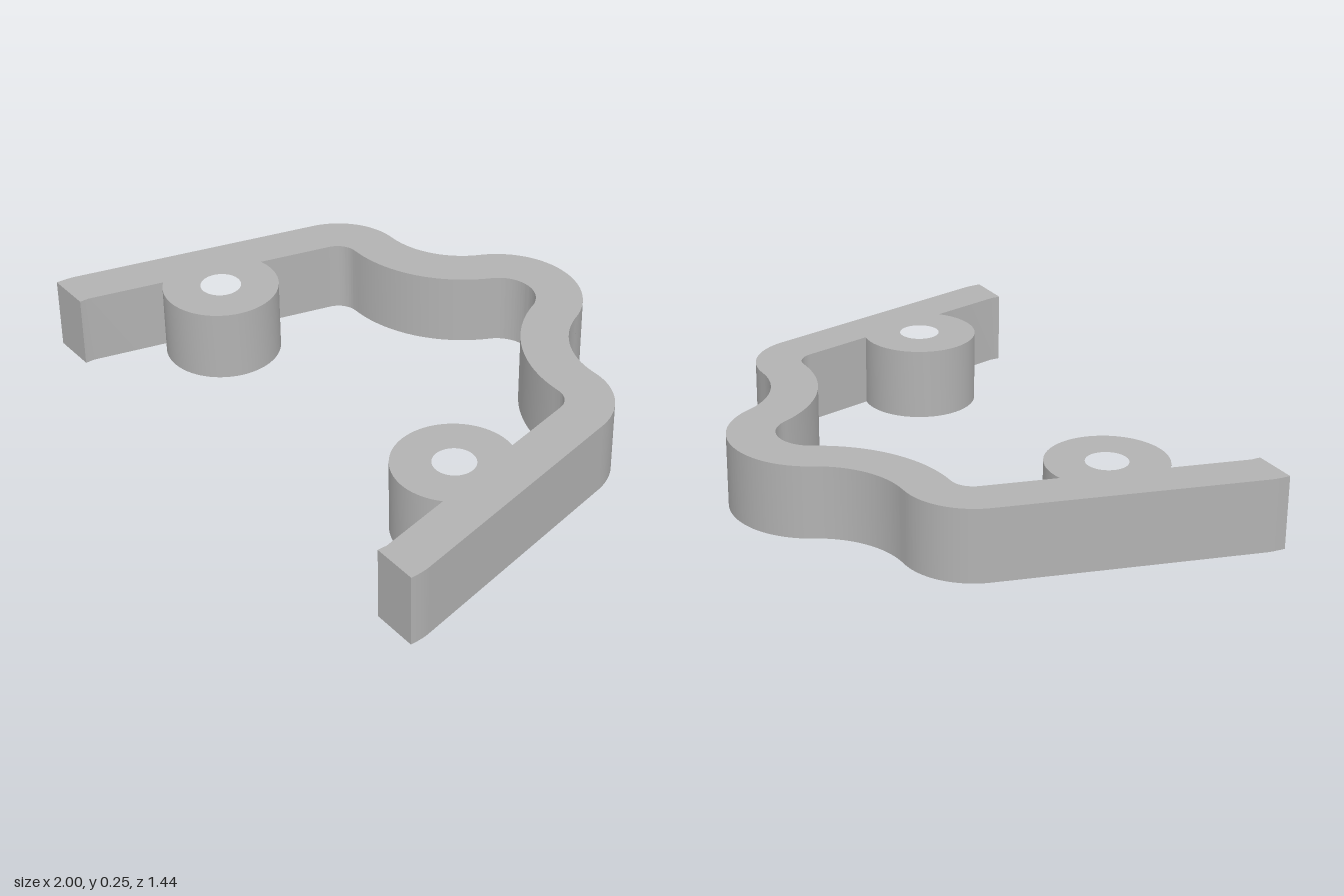
import * as THREE from 'three';
import { toCreasedNormals } from 'three/addons/utils/BufferGeometryUtils.js';

const HEIGHT = 0.25;
const WALL = 0.16;
const BOSS = { x: 0.644, y: -0.277, outer: 0.2, hole: 0.07 };
const rad = THREE.MathUtils.degToRad;

// Half of the outline, drawn in plan with y pointing to the back
function halfOutline() {
  const p = new THREE.Path();
  const arc = (x, y, r, from, to, clockwise) => p.absarc(x, y, r, rad(from), rad(to), clockwise);

  // Outer side: crown, valley, shoulder, leg
  arc(0, 0.437, 0.283, 90, 25.4, true);
  arc(0.53, 0.689, 0.304, 205.4, 270, false);
  arc(0.55, 0.15, 0.235, 90, 14.4, true);
  p.lineTo(0.994, -0.65);
  p.quadraticCurveTo(1, -0.675, 1, -0.718);

  // Foot, then the inner side with the round boss
  p.lineTo(0.842, -0.718);
  p.lineTo(0.842, -0.685);
  p.lineTo(0.777, -0.427);
  arc(BOSS.x, BOSS.y, BOSS.outer, -49, -282, true);
  arc(0.55, 0.15, 0.235 - WALL, 14.4, 90, false);
  arc(0.53, 0.689, 0.304 + WALL, 270, 205.4, true);
  arc(0, 0.437, 0.283 - WALL, 25.4, 90, false);
  return p.getPoints(24);
}

export function createModel() {
  const group = new THREE.Group();
  group.name = 'bracket';

  const grey = new THREE.MeshStandardMaterial({ color: 0xb2b2b2 });
  grey.name = 'grey';

  // Mirror the half outline, dropping the doubled points on the centre line
  const half = halfOutline();
  const mirrored = half.slice(1, -1).reverse().map((q) => new THREE.Vector2(-q.x, q.y));
  const shape = new THREE.Shape([...half, ...mirrored]);

  // Screw holes through both bosses
  for (const side of [-1, 1]) {
    const hole = new THREE.Path();
    hole.absarc(side * BOSS.x, BOSS.y, BOSS.hole, 0, Math.PI * 2, true);
    shape.holes.push(hole);
  }

  const solid = new THREE.ExtrudeGeometry(shape, {
    depth: HEIGHT, bevelEnabled: false, curveSegments: 24,
  });
  solid.rotateX(-Math.PI / 2);

  const body = new THREE.Mesh(toCreasedNormals(solid, 0.5), grey);
  body.name = 'bracketBody';
  group.add(body);
  return group;
}
